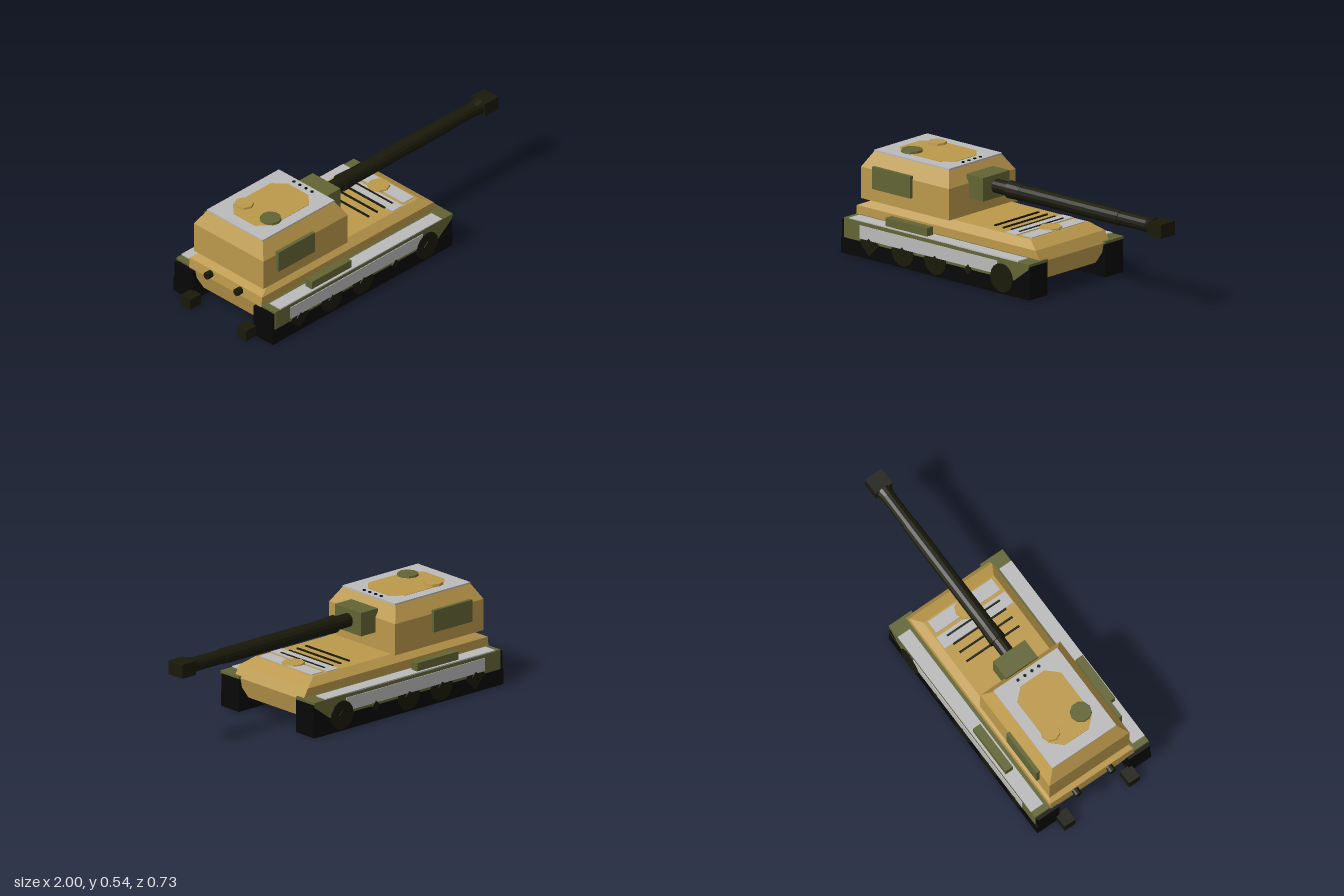
import * as THREE from 'three';

const material = (name, color, side = THREE.FrontSide) => {
  const m = new THREE.MeshStandardMaterial({ color, flatShading: true, side });
  m.name = name;
  return m;
};

export function createModel() {
  const tan = material('sand tan', 0xbb984b, THREE.DoubleSide);
  const olive = material('olive', 0x626534);
  const grey = material('light grey', 0xbababb);
  const dark = material('dark olive', 0x19190a);
  const black = material('track black', 0x070707);
  const model = new THREE.Group();
  model.name = 'trackedGun';

  const add = (name, geometry, mat, parent = model) => {
    const mesh = new THREE.Mesh(geometry, mat);
    mesh.name = name;
    parent.add(mesh);
    return mesh;
  };

  // Box given by its limits on each axis
  const box = (name, mat, x0, x1, y0, y1, z0, z1, parent) =>
    add(name, new THREE.BoxGeometry(x1 - x0, y1 - y0, z1 - z0)
      .translate((x0 + x1) / 2, (y0 + y1) / 2, (z0 + z1) / 2), mat, parent);

  // Upright disc
  const disc = (name, mat, x, z, y0, y1, r, sides, parent) =>
    add(name, new THREE.CylinderGeometry(r * 0.94, r, y1 - y0, sides)
      .translate(x, (y0 + y1) / 2, z), mat, parent);

  // Cylinder along x
  const rod = (name, mat, x0, x1, y, z, r0, r1, sides, parent) =>
    add(name, new THREE.CylinderGeometry(r1, r0, x1 - x0, sides)
      .rotateZ(-Math.PI / 2).translate((x0 + x1) / 2, y, z), mat, parent);

  // Cylinder along z
  const wheel = (name, mat, x, y, z0, z1, r, sides, parent) =>
    add(name, new THREE.CylinderGeometry(r, r, z1 - z0, sides)
      .rotateX(Math.PI / 2).translate(x, y, (z0 + z1) / 2), mat, parent);

  // Shell of stacked rectangular sections, open below: [y, rear x, front x, half width]
  const shell = (name, mat, sections, parent) => {
    const rings = sections.map(([y, x0, x1, w]) =>
      [[x0, y, w], [x1, y, w], [x1, y, -w], [x0, y, -w]]);
    const points = [];
    const quad = (a, b, c, d) => points.push(...a, ...b, ...c, ...a, ...c, ...d);
    for (let i = 0; i < rings.length - 1; i++) {
      for (let j = 0; j < 4; j++) {
        const k = (j + 1) % 4;
        quad(rings[i][j], rings[i][k], rings[i + 1][k], rings[i + 1][j]);
      }
    }
    quad(...rings[rings.length - 1]);
    const g = new THREE.BufferGeometry();
    g.setAttribute('position', new THREE.Float32BufferAttribute(points, 3));
    g.computeVertexNormals();
    return add(name, g, mat, parent);
  };

  const shape = (pts) => new THREE.Shape(pts.map(([x, y]) => new THREE.Vector2(x, y)));

  // Open-bottomed hull with sloped edges
  shell('hull', tan, [
    [0.08, -0.89, 0.335, 0.18],
    [0.18, -0.915, 0.358, 0.26],
    [0.235, -0.91, 0.325, 0.26],
    [0.273, -0.82, 0.255, 0.22],
  ]);

  // Front deck plates, slats and driver hatch
  box('deckPlate', grey, 0.075, 0.15, 0.273, 0.277, -0.215, 0.215);
  box('deckPlate', grey, 0.17, 0.245, 0.273, 0.277, -0.2, 0.2);
  for (const x of [-0.045, 0.015, 0.07, 0.125]) {
    box('deckSlat', dark, x - 0.005, x + 0.005, 0.273, 0.28, -0.165, 0.165);
  }
  disc('driverHatch', tan, 0.19, 0, 0.273, 0.284, 0.062, 8);

  // Running gear, the same on both sides
  for (const s of [1, -1]) {
    const side = new THREE.Group();
    side.name = s > 0 ? 'leftRunningGear' : 'rightRunningGear';
    model.add(side);
    const zBox = (name, mat, x0, x1, y0, y1, z0, z1) =>
      box(name, mat, x0, x1, y0, y1, Math.min(s * z0, s * z1), Math.max(s * z0, s * z1), side);
    const zWheel = (name, mat, x, z0, z1, r, sides) =>
      wheel(name, mat, x, 0.085, Math.min(s * z0, s * z1), Math.max(s * z0, s * z1), r, sides, side);

    zBox('track', black, -0.93, 0.368, 0, 0.176, 0.217, 0.35);
    zBox('trackLowerEdge', black, -0.93, 0.366, 0, 0.085, 0.34, 0.356);
    zBox('fender', olive, -0.91, 0.368, 0.176, 0.19, 0.215, 0.356);
    const skirt = new THREE.ExtrudeGeometry(shape([
      [-0.91, 0.085], [0.26, 0.085], [0.36, 0.16], [0.368, 0.19], [-0.91, 0.19],
    ]), { depth: 0.006, bevelEnabled: false });
    skirt.translate(0, 0, s > 0 ? 0.35 : -0.356);
    add('skirt', skirt, olive, side);
    zBox('skirtStripe', grey, -0.8, 0.15, 0.1, 0.17, 0.355, 0.36);
    zBox('fenderPlate', grey, -0.875, 0.29, 0.188, 0.195, 0.28, 0.356);
    zBox('stowageBox', olive, -0.635, -0.35, 0.19, 0.239, 0.298, 0.343);

    // Road wheels with small diamond hubs
    for (const [x, r, sides] of [[-0.735, 0.068, 4], [-0.505, 0.075, 16], [-0.28, 0.075, 16], [0.18, 0.076, 16]]) {
      zWheel('roadWheel', dark, x, 0.3, x > 0 ? 0.361 : 0.359, r, sides);
    }
    for (const x of [-0.735, -0.505, -0.28, -0.05, 0.18]) {
      zWheel('wheelHub', dark, x, 0.34, 0.364, 0.026, 4);
    }

    // Rear foot and exhaust
    zBox('rearFoot', dark, -1, -0.92, 0, 0.06, 0.168, 0.236);
    rod('exhaust', dark, -0.945, -0.88, 0.21, s * 0.107, 0.02, 0.02, 10, side);
  }

  // Turret shell and side panels
  const turret = new THREE.Group();
  turret.name = 'turret';
  model.add(turret);
  disc('turretRing', tan, -0.59, 0, 0.25, 0.272, 0.2, 20, turret);
  shell('turretShell', tan, [
    [0.273, -0.89, -0.283, 0.25],
    [0.44, -0.89, -0.283, 0.25],
    [0.52, -0.845, -0.33, 0.2],
  ], turret);
  for (const s of [1, -1]) {
    box('sidePanel', olive, -0.8, -0.535, 0.343, 0.46, s * 0.257 - 0.01, s * 0.257 + 0.01, turret);
  }

  // Roof plate with a chamfered painted panel
  box('roofPlate', grey, -0.845, -0.328, 0.519, 0.528, -0.2, 0.2, turret);
  const roofPanel = new THREE.ExtrudeGeometry(shape([
    [-0.72, -0.138], [-0.45, -0.138], [-0.39, -0.075], [-0.39, 0.075],
    [-0.45, 0.138], [-0.72, 0.138], [-0.78, 0.075], [-0.78, -0.075],
  ]), { depth: 0.004, bevelEnabled: false });
  add('roofPanel', roofPanel.rotateX(-Math.PI / 2).translate(0, 0.526, 0), tan, turret);
  disc('commanderHatch', olive, -0.682, 0.094, 0.525, 0.541, 0.058, 10, turret);
  disc('loaderHatch', tan, -0.682, -0.096, 0.525, 0.541, 0.052, 8, turret);
  for (const z of [-0.065, -0.022, 0.022, 0.065]) {
    disc('roofStud', black, -0.355, z, 0.525, 0.532, 0.009, 8, turret);
  }

  // Mantlet, stepped barrel and muzzle block
  const gun = new THREE.Group();
  gun.name = 'gun';
  model.add(gun);
  box('mantlet', olive, -0.3, -0.185, 0.36, 0.485, -0.1, 0.1, gun);
  for (const [x0, x1, r0, r1] of [
    [-0.19, -0.09, 0.037, 0.037],
    [-0.09, 0.0, 0.047, 0.043],
    [0.0, 0.68, 0.042, 0.042],
    [0.68, 0.87, 0.038, 0.038],
    [0.87, 0.91, 0.038, 0.046],
  ]) rod('barrelSection', dark, x0, x1, 0.424, 0, r0, r1, 14, gun);
  box('muzzleBlock', dark, 0.905, 1, 0.387, 0.461, -0.052, 0.052, gun);

  return model;
}
